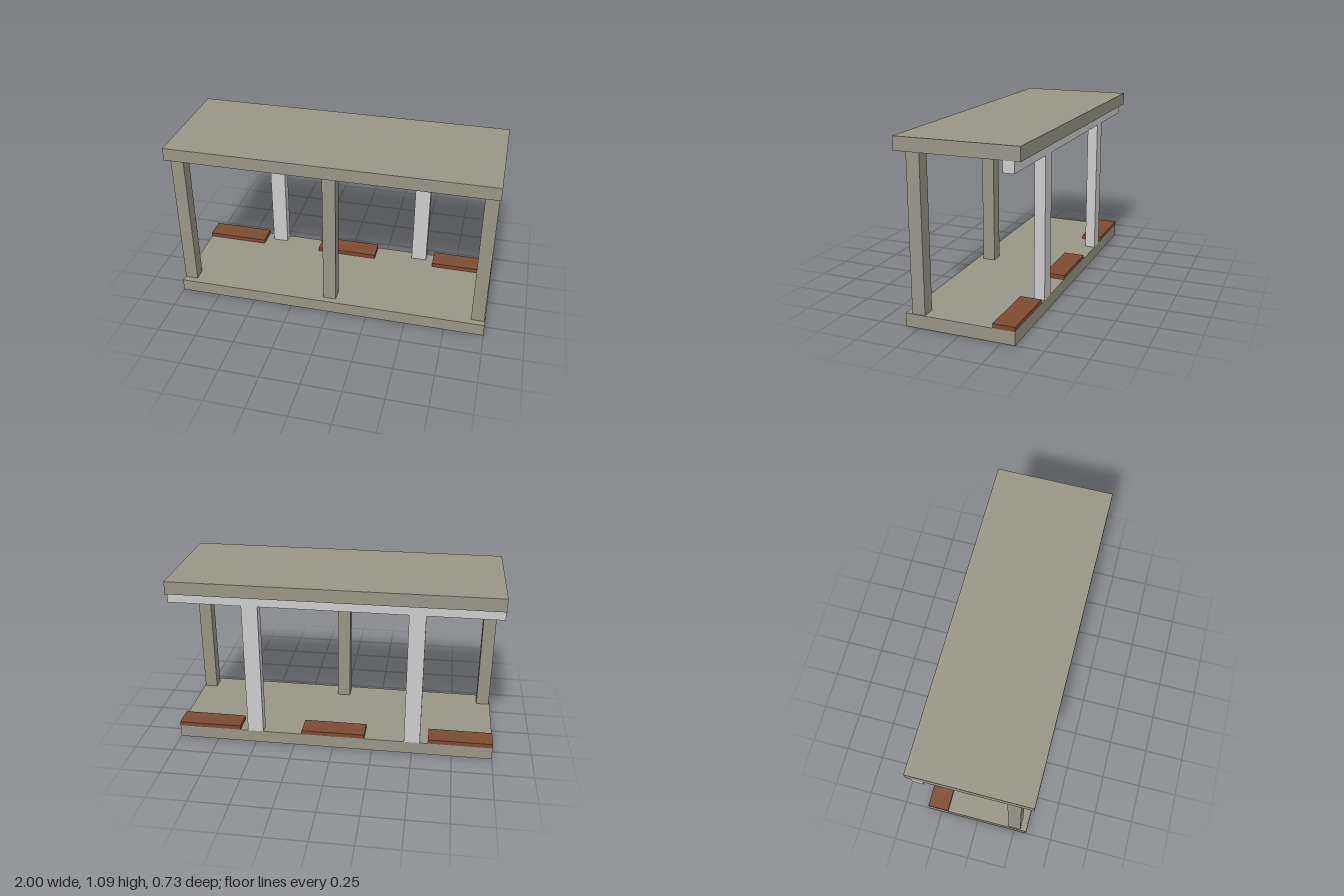
import * as THREE from 'three';

const concrete = new THREE.MeshStandardMaterial({ name: 'concrete', color: 0x989588 });
const paleMetal = new THREE.MeshStandardMaterial({ name: 'paleMetal', color: 0xcccccc });
const wood = new THREE.MeshStandardMaterial({ name: 'wood', color: 0x7d4b32 });

// Box given by its [min, max] range on each axis
function block(name, material, [x0, x1], [y0, y1], [z0, z1]) {
  const mesh = new THREE.Mesh(new THREE.BoxGeometry(x1 - x0, y1 - y0, z1 - z0), material);
  mesh.position.set((x0 + x1) / 2, (y0 + y1) / 2, (z0 + z1) / 2);
  mesh.name = name;
  return mesh;
}

export function createModel() {
  const model = new THREE.Group();
  model.name = 'shelter';

  const floorTop = 0.08, roofBottom = 1.01, beamBottom = 0.945;
  const rearZ = [-0.333, -0.267];

  // Floor slab and roof slab
  model.add(block('floor', concrete, [-1, 1], [0, floorTop], [-0.333, 0.333]));
  model.add(block('roof', concrete, [-1, 1], [roofBottom, 1.09], [-0.367, 0.367]));

  // Three front posts
  for (const x of [-0.953, 0, 0.953]) {
    model.add(block('frontPost', concrete, [x - 0.041, x + 0.041], [floorTop, roofBottom], [0.213, 0.293]));
  }

  // Rear beam carried by two rear posts
  model.add(block('rearBeam', paleMetal, [-1, 1], [beamBottom, roofBottom], rearZ));
  for (const x of [-0.5, 0.5]) {
    model.add(block('rearPost', paleMetal, [x - 0.05, x + 0.05], [floorTop, beamBottom], rearZ));
  }

  // Low wooden planks along the rear edge
  for (const x of [-0.8, 0, 0.8]) {
    model.add(block('plank', wood, [x - 0.2, x + 0.2], [floorTop, 0.107], [-0.333, -0.2]));
  }

  return model;
}
